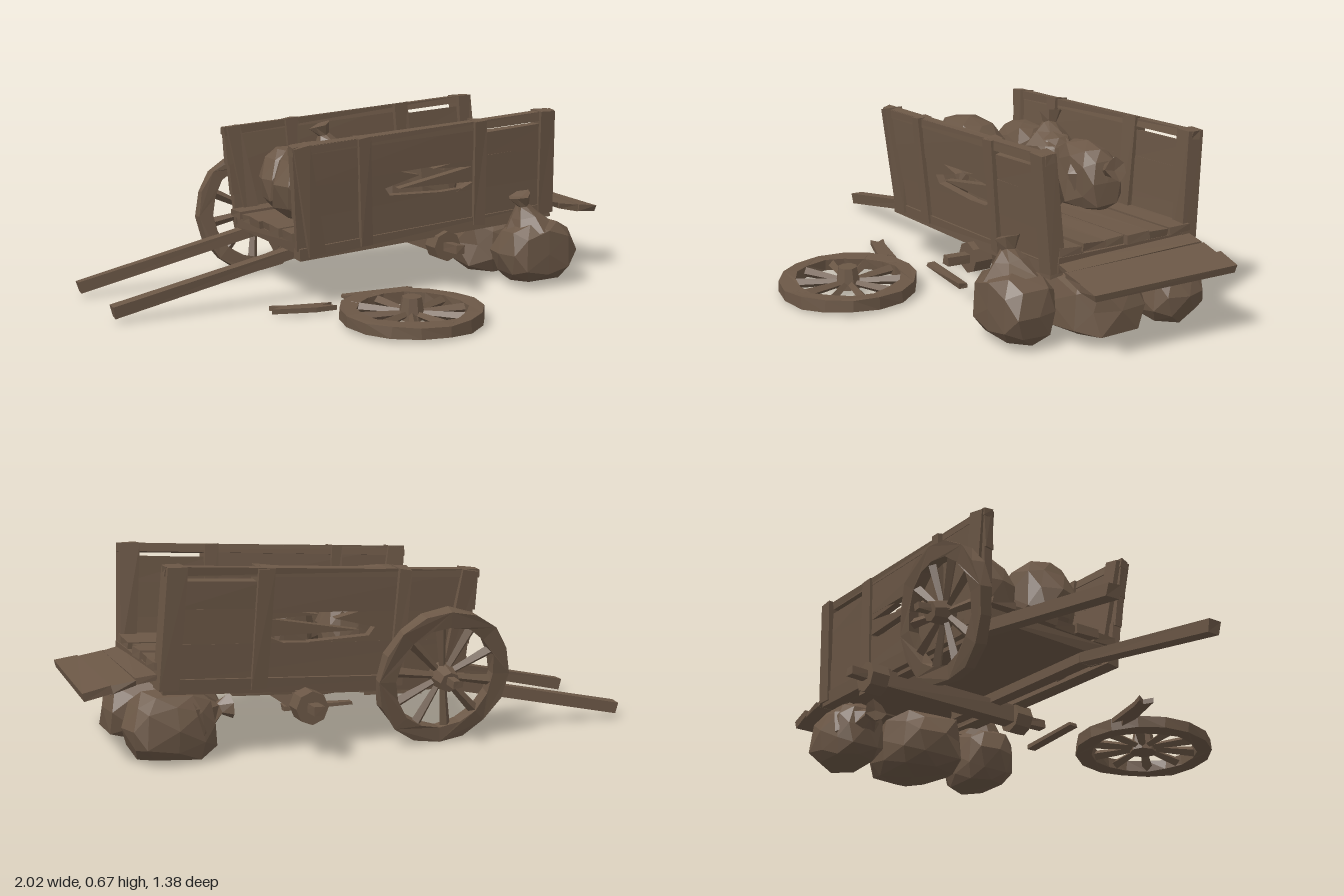
import * as THREE from 'three';

const wood = new THREE.MeshStandardMaterial({ color: 0x6b5746, flatShading: true });
wood.name = 'weathered brown';

// Repeatable noise by position, so shared corners move together
function noise(x, y, z, seed) {
  const s = Math.sin(Math.round(x * 500) * 12.99 + Math.round(y * 500) * 78.23 + Math.round(z * 500) * 37.72 + seed * 4.13) * 43758.5;
  return (s - Math.floor(s)) * 2 - 1;
}

function roughen(geo, amount, seed) {
  const p = geo.attributes.position;
  for (let i = 0; i < p.count; i++) {
    const [x, y, z] = [p.getX(i), p.getY(i), p.getZ(i)];
    p.setXYZ(i, x + amount * noise(x, y, z, seed), y + amount * noise(x, y, z, seed + 1), z + amount * noise(x, y, z, seed + 2));
  }
  geo.computeVertexNormals();
  return geo;
}

function add(parent, name, geo, pos = [0, 0, 0]) {
  const m = new THREE.Mesh(geo, wood);
  m.name = name;
  m.position.set(...pos);
  parent.add(m);
  return m;
}

let count = 0;
function box(parent, name, size, pos, rough = 0.004) {
  return add(parent, name, roughen(new THREE.BoxGeometry(...size), rough, ++count), pos);
}

// Squared timber running from a to b
function beam(parent, name, a, b, w, h, rough = 0.004) {
  const A = new THREE.Vector3(...a), B = new THREE.Vector3(...b);
  const geo = roughen(new THREE.BoxGeometry(w, h, A.distanceTo(B)), rough, ++count);
  const m = new THREE.Mesh(geo, wood);
  m.name = name;
  m.position.copy(A).add(B).multiplyScalar(0.5);
  m.lookAt(B);
  parent.add(m);
}

// Flat splintered board in the xy plane
function shard(parent, name, pts, depth) {
  const shape = new THREE.Shape(pts.map(p => new THREE.Vector2(...p)));
  const geo = new THREE.ExtrudeGeometry(shape, { depth, bevelEnabled: false });
  return add(parent, name, geo.translate(0, 0, -depth / 2));
}

// Spoked wheel in the xy plane, hub protruding toward +z
function wheel(parent, name, r) {
  const g = new THREE.Group();
  g.name = name;
  const ring = (rad, Path) => {
    const pts = [];
    for (let i = 0; i < 16; i++) {
      const a = i / 16 * Math.PI * 2;
      pts.push(new THREE.Vector2(Math.cos(a) * rad, Math.sin(a) * rad));
    }
    return new Path(pts);
  };
  const rim = ring(r, THREE.Shape);
  rim.holes.push(ring(r - 0.058, THREE.Path));
  const geo = new THREE.ExtrudeGeometry(rim, { depth: 0.044, bevelEnabled: false }).translate(0, 0, -0.022);
  add(g, 'rim', roughen(geo, 0.004, 7));
  for (let i = 0; i < 10; i++) {
    const spoke = new THREE.CylinderGeometry(0.021, 0.012, r - 0.06, 4).translate(0, r / 2, 0);
    add(g, 'spoke', spoke).rotation.z = i / 10 * Math.PI * 2 + 0.15;
  }
  const hub = new THREE.CylinderGeometry(0.036, 0.05, 0.08, 8).rotateX(Math.PI / 2);
  add(g, 'hub', hub, [0, 0, 0.02]);
  parent.add(g);
  return g;
}

// Lumpy sagging grain sack, optionally with a tied neck at the given point
function sack(parent, center, radii, neck) {
  const seed = ++count;
  const geo = new THREE.IcosahedronGeometry(1, 1);
  const p = geo.attributes.position;
  const square = v => Math.sign(v) * Math.pow(Math.abs(v), 0.68);
  for (let i = 0; i < p.count; i++) {
    const [x, y, z] = [p.getX(i), p.getY(i), p.getZ(i)];
    const k = 0.98 + 0.09 * noise(x, y, z, seed);
    const sag = k * (1 - 0.12 * y);
    p.setXYZ(i, square(x) * sag * radii[0], Math.max(square(y) * k, -0.92) * radii[1], square(z) * sag * radii[2]);
  }
  geo.computeVertexNormals();
  add(parent, 'sack', geo, center);
  if (!neck) return;
  const profile = [[0.11, -0.1], [0.06, -0.04], [0.026, 0], [0.045, 0.04], [0, 0.03]];
  const tie = roughen(new THREE.LatheGeometry(profile.map(q => new THREE.Vector2(...q)), 7), 0.006, 3);
  const m = add(parent, 'sackNeck', tie, neck);
  const dir = new THREE.Vector3(...neck).sub(new THREE.Vector3(...center)).normalize();
  m.quaternion.setFromUnitVectors(new THREE.Vector3(0, 1, 0), dir);
}

// Side wall: boards with a smashed middle row, held by four posts
function sideWall(parent, name, z, lean) {
  const g = new THREE.Group();
  g.name = name;
  g.position.z = z;
  g.rotation.x = lean;
  box(g, 'bottomRail', [1.1, 0.05, 0.05], [0, 0, 0]);
  box(g, 'lowerBoard', [1.11, 0.13, 0.03], [0, 0.08, 0]);
  shard(g, 'brokenBoardRight', [[-0.56, 0.13], [-0.18, 0.135], [0.05, 0.145], [-0.17, 0.165], [-0.19, 0.195], [-0.04, 0.225], [-0.16, 0.26], [-0.56, 0.26]], 0.03);
  shard(g, 'brokenBoardLeft', [[0.56, 0.13], [0.56, 0.26], [0.17, 0.26], [0.02, 0.24], [0.19, 0.225], [-0.13, 0.185], [0.2, 0.165], [0.12, 0.135]], 0.03);
  box(g, 'upperBoard', [0.8, 0.15, 0.03], [-0.165, 0.325, 0]);
  box(g, 'upperEndBoard', [0.34, 0.1, 0.03], [0.39, 0.302, 0]);
  box(g, 'topRail', [1.13, 0.032, 0.034], [0, 0.384, 0]);
  for (const [x, w, tilt] of [[-0.505, 0.06, 0.11], [-0.28, 0.05, 0], [0.22, 0.055, -0.02], [0.53, 0.065, 0]])
    box(g, 'post', [w, 0.41, 0.062], [x, 0.195, 0], 0.006).rotation.z = tilt;
  parent.add(g);
}

export function createModel() {
  const model = new THREE.Group();
  model.name = 'brokenCart';

  // Cart body, tipped slightly forward
  const cart = new THREE.Group();
  cart.name = 'cartBody';
  cart.position.set(0.2, 0.24, 0);
  cart.rotation.z = 0.062;
  model.add(cart);
  sideWall(cart, 'frontSideWall', 0.07, 0.075);
  sideWall(cart, 'backSideWall', -0.483, -0.075);
  box(cart, 'floorBase', [1.1, 0.045, 0.55], [0, 0.02, -0.207], 0.003);
  for (let i = 0; i < 6; i++)
    box(cart, 'floorPlank', [1.13 + 0.025 * noise(i, 1, 2, 5), 0.03, 0.093], [0, 0.058 + 0.005 * (i % 2), 0.018 - i * 0.09]);
  box(cart, 'tailBeam', [0.06, 0.05, 0.56], [0.535, 0.018, -0.21]);

  // Drawing shafts, bent where they pass under the floor
  for (const [tip, root] of [[-0.07, -0.04], [-0.48, -0.455]]) {
    beam(model, 'shaft', [-1, 0.04, tip], [-0.3, 0.192, root], 0.045, 0.042, 0.003);
    beam(model, 'shaftRail', [-0.32, 0.19, root], [0.5, 0.24, root], 0.045, 0.045, 0.003);
  }

  // Bare axle
  beam(model, 'axle', [0.26, 0.185, -0.55], [0.26, 0.185, 0.1], 0.065, 0.07);
  for (const [z, end] of [[0.085, 0.21], [-0.56, -0.66]]) {
    add(model, 'axleCollar', new THREE.CylinderGeometry(0.058, 0.058, 0.07, 8).rotateX(Math.PI / 2), [0.26, 0.178, z]);
    beam(model, 'axleStub', [0.26, 0.178, z], [0.26, 0.183, end], 0.036, 0.032, 0.002);
  }

  // Dropped tailboard
  const tail = new THREE.Group();
  tail.name = 'tailboard';
  tail.position.set(0.865, 0.277, -0.205);
  tail.rotation.set(0.02, -0.03, -0.18);
  for (let i = -1; i <= 1; i++)
    box(tail, 'tailPlank', [0.089, 0.022, 0.56 + 0.01 * i], [i * 0.086, 0, 0], 0.006);
  model.add(tail);

  // One wheel flat on the ground, one leaning on the cart
  const flat = wheel(model, 'fallenWheel', 0.257);
  flat.position.set(-0.08, 0.037, 0.433);
  flat.rotation.x = -Math.PI / 2 + 0.02;
  const leaning = wheel(model, 'leaningWheel', 0.246);
  leaning.position.set(-0.23, 0.244, -0.578);
  leaning.rotation.set(-0.19, Math.PI, 0);
  beam(model, 'wheelPin', [-0.23, 0.245, -0.58], [-0.23, 0.235, -0.69], 0.026, 0.026, 0.002);

  // Splintered boards on the ground
  const splinter = shard(model, 'splinteredBoard', [[-0.12, -0.02], [0.04, -0.035], [0.12, -0.02], [0.07, 0], [0.11, 0.025], [-0.06, 0.025], [-0.12, 0.035], [-0.09, 0.005]], 0.018);
  splinter.rotation.set(-Math.PI / 2, 0, -0.22);
  splinter.position.set(-0.36, 0.02, 0.14);
  beam(model, 'looseSlat', [-0.15, 0.015, 0.04], [0.13, 0.015, 0.06], 0.035, 0.018);

  // Sacks spilled behind the cart
  sack(model, [0.63, 0.135, 0.155], [0.155, 0.135, 0.12], [0.58, 0.315, 0.15]);
  sack(model, [0.66, 0.13, -0.12], [0.21, 0.13, 0.16]);
  sack(model, [0.7, 0.125, -0.41], [0.16, 0.125, 0.118], [0.53, 0.16, -0.41]);

  // Sacks loaded on the floor
  sack(model, [-0.17, 0.425, -0.15], [0.16, 0.155, 0.12]);
  sack(model, [0.2, 0.405, -0.115], [0.2, 0.11, 0.15]);
  sack(model, [-0.14, 0.41, -0.375], [0.14, 0.13, 0.092]);
  sack(model, [0.31, 0.43, -0.365], [0.14, 0.13, 0.095], [0.42, 0.47, -0.38]);
  sack(model, [0.04, 0.42, -0.385], [0.11, 0.12, 0.09], [0.0, 0.56, -0.41]);
  return model;
}
